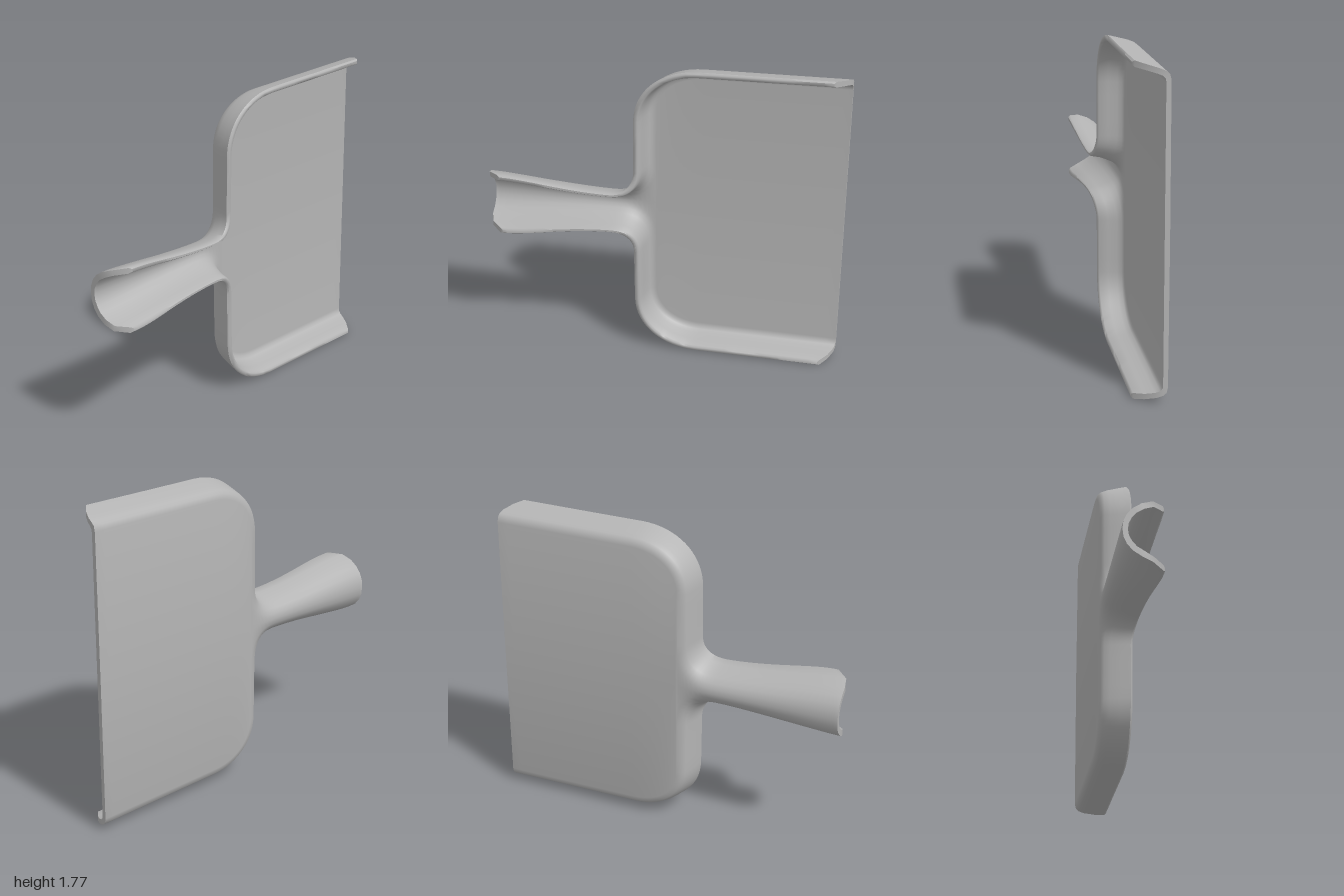
import * as THREE from 'three';
import { toCreasedNormals } from 'three/addons/utils/BufferGeometryUtils.js';

const MID = 0.885; // height of the symmetry line

// wall profiles as [inset from the outline, z], rim to floor
const PAN = {
  outer: [[0.008, 0.06], [0, 0.05], [0.012, 0], [0.028, -0.06], [0.04, -0.09], [0.055, -0.108], [0.085, -0.115]],
  inner: [[0.024, 0.06], [0.032, 0.05], [0.042, 0], [0.055, -0.05], [0.065, -0.075], [0.08, -0.088], [0.1, -0.09]],
};
const HANDLE = {
  outer: [[0.008, 0.11], [0, 0.1], [0.012, 0.04], [0.035, -0.02], [0.065, -0.065], [0.1, -0.095], [0.14, -0.112]],
  inner: [[0.024, 0.11], [0.032, 0.1], [0.042, 0.045], [0.065, -0.005], [0.09, -0.045], [0.12, -0.07], [0.15, -0.085]],
};

const { lerp, clamp, smoothstep } = THREE.MathUtils;

// upper half of the rim outline: x along, y = distance from the symmetry line
function makeStations() {
  const path = new THREE.Path();
  path.moveTo(-1, 0.184);
  path.bezierCurveTo(-0.85, 0.186, -0.5, 0.122, -0.29, 0.122); // handle
  path.bezierCurveTo(-0.21, 0.122, -0.16, 0.17, -0.16, 0.25); // neck fillet
  path.lineTo(-0.157, 0.56); // back wall
  path.bezierCurveTo(-0.152, 0.75, 0, 0.872, 0.2, 0.875); // rounded corner
  path.lineTo(1, 0.883); // side wall
  const counts = [18, 12, 4, 16, 14];
  const stations = [];
  path.curves.forEach((curve, c) => {
    for (let i = c === 0 ? 0 : 1; i <= counts[c]; i++) {
      const t = i / counts[c];
      const handle = c === 0 ? 1 : c === 1 ? 1 - smoothstep(t, 0, 1) : 0;
      stations.push({ p: curve.getPoint(t), tan: curve.getTangent(t), handle });
    }
  });
  return stations;
}

// slants the open handle end and the front ends of the side walls
function slant(x, z) {
  const front = clamp((z + 0.11) / 0.17, 0, 1) ** 2 * smoothstep(x, 0.5, 1);
  const back = clamp(z / 0.11, 0, 1) ** 2 * smoothstep(-x, 0.4, 1);
  return x - 0.09 * front + 0.09 * back;
}

// closed cross-section: outer skin top to bottom, then inner skin back up
function makeRing({ p, tan, handle }) {
  const narrow = lerp(1, clamp(p.y / 0.184, 0.66, 1), handle);
  const rimDrop = 1 - 0.22 * handle * clamp((p.x + 0.9) / 0.7, 0, 1);
  const skin = (side, centreZ) => {
    const half = PAN[side].map(([d, z], i) => {
      const inset = lerp(d, HANDLE[side][i][0] * narrow, handle);
      let zz = lerp(z, HANDLE[side][i][1], handle);
      if (zz > 0) zz *= rimDrop;
      return [p.x + tan.y * inset, p.y - tan.x * inset, zz];
    });
    const mirrored = half.map(([x, y, z]) => [x, -y, z]).reverse();
    return [...half, [half[6][0], 0, centreZ], ...mirrored];
  };
  const ring = [...skin('outer', -0.117), ...skin('inner', -0.09).reverse()];
  return ring.map(([x, y, z]) => [slant(x, z), y + MID, z]);
}

function makeShell() {
  const rings = makeStations().map(makeRing);
  const n = rings[0].length;
  const last = (rings.length - 1) * n;
  const index = [];
  for (let s = 0; s < rings.length - 1; s++) {
    for (let i = 0; i < n; i++) {
      const j = (i + 1) % n;
      const a = s * n + i, b = a + n, c = s * n + j, d = c + n;
      index.push(a, b, c, b, d, c);
    }
  }
  // close the handle end and the front lip
  for (let j = 0; j < n / 2 - 1; j++) {
    const o0 = j, o1 = j + 1, i0 = n - 1 - j, i1 = n - 2 - j;
    index.push(o0, o1, i0, o1, i1, i0);
    index.push(last + o0, last + i0, last + o1, last + o1, last + i0, last + i1);
  }
  const geometry = new THREE.BufferGeometry();
  geometry.setAttribute('position', new THREE.Float32BufferAttribute(rings.flat(2), 3));
  geometry.setIndex(index);
  return toCreasedNormals(geometry, 0.9);
}

export function createModel() {
  const plastic = new THREE.MeshStandardMaterial({ color: 0xb4b4b4 });
  plastic.name = 'grey plastic';
  const pan = new THREE.Mesh(makeShell(), plastic);
  pan.name = 'panWithHandle';
  const model = new THREE.Group();
  model.name = 'dustpan';
  model.add(pan);
  return model;
}
